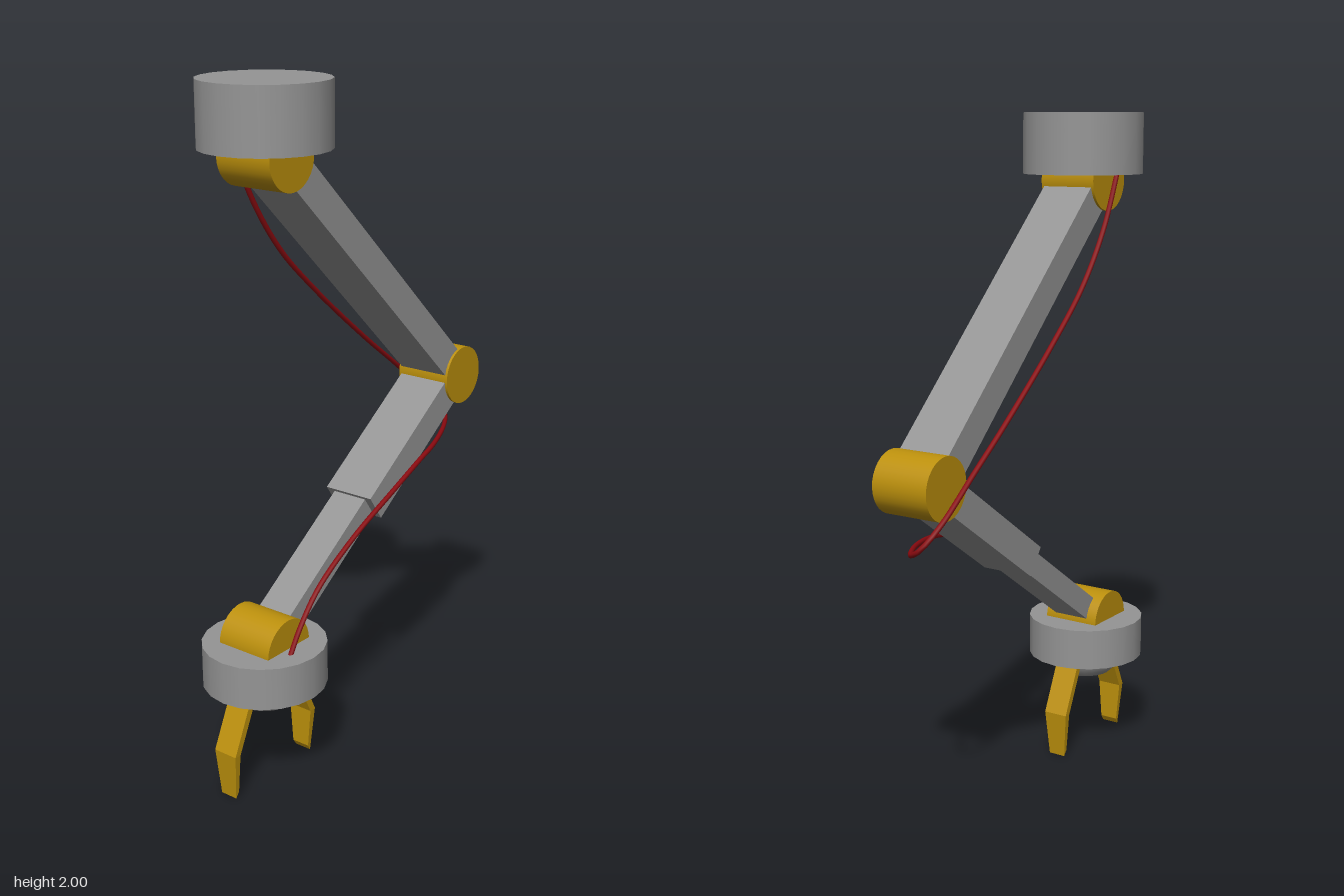
import * as THREE from 'three';

const grey = new THREE.MeshStandardMaterial({ color: 0x959595 });
const gold = new THREE.MeshStandardMaterial({ color: 0xbc900c });
const red = new THREE.MeshStandardMaterial({ color: 0x8c0a10 });

export function createModel() {
  const model = new THREE.Group();

  const add = (name, geometry, material, parent = model) => {
    const mesh = new THREE.Mesh(geometry, material);
    mesh.name = name;
    parent.add(mesh);
    return mesh;
  };

  // Joint centres as [y, z]
  const shoulder = [1.803, 0.357];
  const elbow = [1.023, -0.464];
  const wrist = [0.425, 0.398];
  const sleeveEnd = [0.715, -0.021];

  // Upright round housings
  const disc = (name, bottom, top, z) =>
    add(name, new THREE.CylinderGeometry(0.18, 0.18, top - bottom, 20), grey)
      .position.set(0, (bottom + top) / 2, z);
  disc('ceilingMount', 1.821, 2, shoulder[1]);
  disc('wristDisc', 0.302, 0.427, wrist[1]);

  // Pivot drums lying along x
  const pivot = (name, [y, z]) =>
    add(name, new THREE.CylinderGeometry(0.09, 0.09, 0.18, 32).rotateZ(Math.PI / 2), gold)
      .position.set(0, y, z);
  pivot('shoulderJoint', shoulder);
  pivot('elbowJoint', elbow);
  pivot('wristJoint', wrist);

  // Straight beams from one point to another
  const beam = (name, [y1, z1], [y2, z2], width, thickness) => {
    const length = Math.hypot(y2 - y1, z2 - z1);
    const mesh = add(name, new THREE.BoxGeometry(width, thickness, length), grey);
    mesh.position.set(0, (y1 + y2) / 2, (z1 + z2) / 2);
    mesh.rotation.x = -Math.atan2(y2 - y1, z2 - z1);
  };
  beam('upperArm', shoulder, elbow, 0.164, 0.095);
  beam('forearmSleeve', elbow, sleeveEnd, 0.164, 0.093);
  beam('forearmRod', elbow, wrist, 0.114, 0.07);

  // Gripper: domed hub and two bent claws
  const gripper = new THREE.Group();
  gripper.name = 'gripper';
  gripper.position.z = wrist[1];
  model.add(gripper);

  const hub = [[0, 0.231], [0.055, 0.234], [0.08, 0.242], [0.097, 0.258], [0.108, 0.28], [0.114, 0.307]];
  add('gripperHub', new THREE.LatheGeometry(hub.map(p => new THREE.Vector2(...p)), 24), grey, gripper);

  // Claw outline as [z, y], widened along x and tapered towards the tip
  const outline = [[0.102, 0.306], [0.178, 0.141], [0.167, 0], [0.156, 0.018], [0.157, 0.139], [0.079, 0.306]];
  const clawShape = new THREE.Shape(outline.map(p => new THREE.Vector2(...p)));
  const clawGeometry = new THREE.ExtrudeGeometry(clawShape, { depth: 1, bevelEnabled: false })
    .translate(0, 0, -0.5).rotateY(-Math.PI / 2);
  const pos = clawGeometry.attributes.position;
  for (let i = 0; i < pos.count; i++) {
    const y = pos.getY(i);
    const width = y > 0.135 ? 0.077 : THREE.MathUtils.mapLinear(y, 0, 0.135, 0.054, 0.077);
    pos.setX(i, pos.getX(i) * width);
  }
  clawGeometry.computeVertexNormals();
  add('frontClaw', clawGeometry, gold, gripper);
  add('backClaw', clawGeometry, gold, gripper).rotation.y = Math.PI;

  // Cable running down one side, behind the elbow and along the other side
  const path = [
    [-0.125, 1.836, 0.35], [-0.123, 1.666, 0.275], [-0.121, 1.506, 0.163], [-0.119, 1.355, 0.005],
    [-0.117, 1.159, -0.233], [-0.115, 1.047, -0.38], [-0.112, 0.952, -0.5], [-0.097, 0.902, -0.555],
    [-0.075, 0.874, -0.57], [-0.035, 0.853, -0.55], [0.025, 0.845, -0.46], [0.08, 0.831, -0.32],
    [0.1, 0.815, -0.22], [0.111, 0.767, -0.075], [0.114, 0.677, 0.138], [0.115, 0.58, 0.297],
    [0.115, 0.488, 0.38], [0.115, 0.417, 0.425],
  ].map(p => new THREE.Vector3(...p));
  add('cable', new THREE.TubeGeometry(new THREE.CatmullRomCurve3(path), 90, 0.0075, 8), red);

  return model;
}
